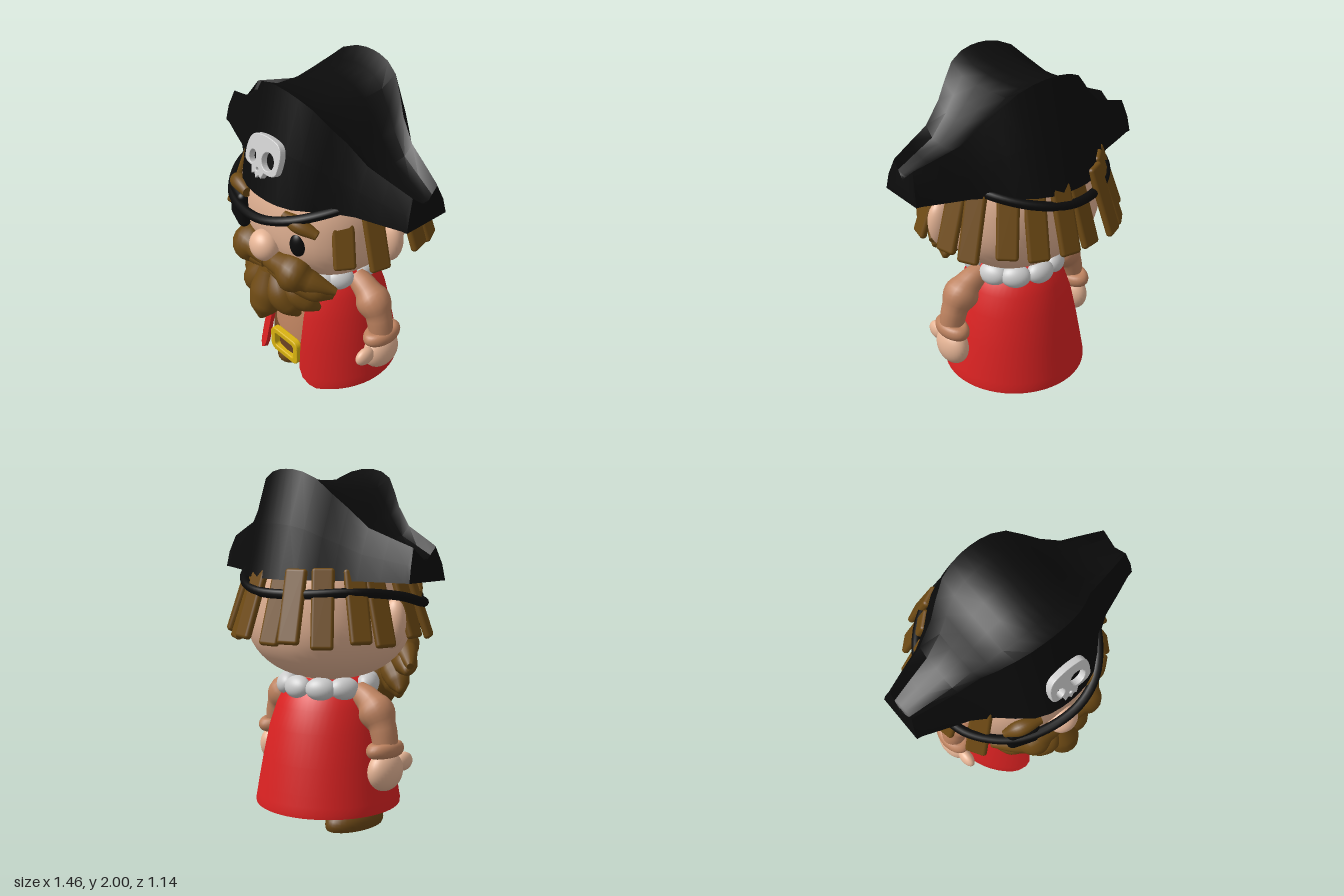
import * as THREE from 'three';
import { toCreasedNormals } from 'three/addons/utils/BufferGeometryUtils.js';
import { RoundedBoxGeometry } from 'three/addons/geometries/RoundedBoxGeometry.js';

const V = (x, y, z) => new THREE.Vector3(x, y, z);
const material = (color) => new THREE.MeshStandardMaterial({ color });
const skin = material(0xe6b596), tan = material(0xbd825f), brown = material(0x6b4716), hairMat = material(0x6e4a14);
const black = material(0x0b0b0b), red = material(0xdb2222), white = material(0xcccccc);
const gold = material(0xd9b310), leather = material(0x6d4423), wood = material(0x8a5238);
const CZ = 0.03; // depth of the body's axis

// Skin over closed loops of points, ends capped with fans
function loft(rows, caps = true, crease = 0.7) {
  const n = rows[0].length, pts = rows.flat(), index = [];
  for (let i = 0; i < rows.length - 1; i++) {
    for (let j = 0; j < n; j++) {
      const a = i * n + j, b = i * n + (j + 1) % n;
      index.push(a, a + n, b, b, a + n, b + n);
    }
  }
  if (caps) {
    [0, rows.length - 1].forEach((r, end) => {
      const c = rows[r].reduce((s, p) => s.add(p), V(0, 0, 0)).divideScalar(n);
      pts.push(c);
      for (let j = 0; j < n; j++) {
        const a = r * n + j, b = r * n + (j + 1) % n;
        index.push(pts.length - 1, end ? b : a, end ? a : b);
      }
    });
  }
  const g = new THREE.BufferGeometry().setFromPoints(pts);
  g.setIndex(index);
  return toCreasedNormals(g, crease);
}

// Round limb along a path with a varying radius
function limb(points, radii, steps = 20, sides = 16) {
  const path = new THREE.CatmullRomCurve3(points.map((p) => V(...p)));
  const width = new THREE.CatmullRomCurve3(radii.map((r) => V(r, 0, 0)));
  const { normals, binormals } = path.computeFrenetFrames(steps);
  const rows = [];
  for (let i = 0; i <= steps; i++) {
    const c = path.getPointAt(i / steps), row = [];
    const t = path.getUtoTmapping(i / steps), r = width.getPoint(t).x;
    for (let j = 0; j < sides; j++) {
      const a = -j / sides * Math.PI * 2;
      row.push(c.clone().addScaledVector(normals[i], r * Math.cos(a)).addScaledVector(binormals[i], r * Math.sin(a)));
    }
    rows.push(row);
  }
  return loft(rows, true, 1.2);
}

function roundRect(shape, w, h, r) {
  const x = w / 2, y = h / 2;
  shape.moveTo(-x + r, -y).lineTo(x - r, -y).quadraticCurveTo(x, -y, x, -y + r).lineTo(x, y - r)
    .quadraticCurveTo(x, y, x - r, y).lineTo(-x + r, y).quadraticCurveTo(-x, y, -x, y - r)
    .lineTo(-x, -y + r).quadraticCurveTo(-x, -y, -x + r, -y);
  return shape;
}

// Bicorne hat: cross-sections from tip to tip
function hatGeometry() {
  // x, crest height, half depth at the brim
  const half = [[0, 2, 0.48], [0.05, 1.998, 0.478], [0.12, 1.985, 0.467], [0.2, 1.95, 0.435], [0.28, 1.87, 0.37],
    [0.35, 1.8, 0.305], [0.46, 1.7, 0.235], [0.58, 1.655, 0.19], [0.7, 1.61, 0.143], [0.73, 1.605, 0.138]];
  const sections = [...half.slice(1).reverse().map(([x, h, d]) => [-x, h, d]), ...half];
  return loft(sections.map(([x, h, d]) => {
    const top = d - 0.3 * (h - 1.43), mid = (d + top) / 2 + 0.008, s = Math.sign(x);
    const end = Math.abs(x) > 0.72 ? 0.022 * s : 0;
    const side = [[1.43, d, 0], [(1.43 + h) / 2, mid, 0.3], [h, top, 1], [h - 0.05, top * 0.66, 0.9], [h - 0.06, top * 0.2, 0.9]];
    const front = side.map(([y, z, e]) => V(x - end * e, y, CZ + z));
    const back = side.map(([y, z, e]) => V(x - end * e, y, CZ - z)).reverse();
    return [...front, ...back];
  }), true, 0.6);
}

// Thin coat shell, open down the front with cut-away hem corners
function coatGeometry() {
  // height, radius, half opening angle
  const levels = [[0.86, 0.13, 0.5], [0.835, 0.195, 0.46], [0.78, 0.25, 0.43], [0.7, 0.29, 0.4], [0.58, 0.33, 0.39],
    [0.4, 0.368, 0.38], [0.25, 0.395, 0.39], [0.19, 0.405, 0.45], [0.15, 0.412, 0.56], [0.13, 0.412, 0.66]];
  const n = 44;
  return loft(levels.map(([y, r, gap], i) => {
    const thick = i === 0 || i === levels.length - 1 ? 0.001 : 0.022;
    const arc = (rad) => Array.from({ length: n + 1 }, (_, j) => {
      const a = gap + (2 * Math.PI - 2 * gap) * j / n;
      return V(rad * Math.sin(a), y, CZ + rad * Math.cos(a));
    });
    return [...arc(r), ...arc(r - thick).reverse()];
  }), false, 0.7);
}

// Skull-shaped badge plate
function badgeGeometry() {
  const s = new THREE.Shape();
  s.moveTo(-0.06, -0.065).lineTo(-0.05, -0.105).lineTo(-0.03, -0.09).lineTo(-0.015, -0.115).lineTo(0.002, -0.095)
    .lineTo(0.02, -0.105).lineTo(0.035, -0.07).quadraticCurveTo(0.12, -0.075, 0.122, -0.03)
    .quadraticCurveTo(0.14, 0.1, 0.07, 0.108).quadraticCurveTo(0, 0.12, -0.07, 0.1)
    .quadraticCurveTo(-0.13, 0.08, -0.12, -0.03).quadraticCurveTo(-0.12, -0.065, -0.06, -0.065);
  for (const [x, y, rx, ry] of [[-0.068, -0.02, 0.029, 0.038], [0.047, -0.005, 0.05, 0.052], [-0.015, -0.072, 0.013, 0.012]]) {
    s.holes.push(new THREE.Path().absellipse(x, y, rx, ry, 0, Math.PI * 2, true));
  }
  return new THREE.ExtrudeGeometry(s, { depth: 0.03, bevelEnabled: true, bevelSize: 0.004, bevelThickness: 0.005, bevelSegments: 2, curveSegments: 16 });
}

export function createModel() {
  const model = new THREE.Group();
  const add = (name, geometry, mat, pos = [0, 0, 0], rot = [0, 0, 0]) => {
    const m = new THREE.Mesh(geometry, mat);
    m.name = name;
    m.position.set(...pos);
    m.rotation.set(...rot, 'YXZ');
    model.add(m);
    return m;
  };
  const blob = (name, mat, pos, size, rot) =>
    add(name, new THREE.SphereGeometry(1, 32, 20).scale(...size), mat, pos, rot);
  const lathe = (name, mat, pts, pos) =>
    add(name, toCreasedNormals(new THREE.LatheGeometry(pts.map((p) => new THREE.Vector2(...p)), 40), 0.7), mat, pos);

  // Head: a slightly squared sphere
  const head = new THREE.SphereGeometry(1, 48, 32), hp = head.attributes.position;
  for (let i = 0; i < hp.count; i++) {
    const p = V(0, 0, 0).fromBufferAttribute(hp, i), e = 2.4;
    p.divideScalar((Math.abs(p.x) ** e + Math.abs(p.y) ** e + Math.abs(p.z) ** e) ** (1 / e));
    hp.setXYZ(i, p.x * 0.46, p.y * 0.42, p.z * 0.44);
  }
  add('head', toCreasedNormals(head, 1), skin, [0, 1.26, 0.035]);
  blob('nose', skin, [-0.01, 1.1, 0.485], [0.088, 0.09, 0.078]);
  blob('eye', black, [0.21, 1.2, 0.435], [0.045, 0.072, 0.035], [0, 0.35, 0]);
  add('eyePatch', new RoundedBoxGeometry(0.18, 0.22, 0.07, 5, 0.034), black, [-0.26, 1.22, 0.445], [0, -0.35, 0]);
  add('rightBrow', limb([[-0.35, 1.31, 0.4], [-0.27, 1.36, 0.44], [-0.16, 1.355, 0.465]], [0.02, 0.045, 0.03]), hairMat);
  add('leftBrow', limb([[0.14, 1.37, 0.465], [0.23, 1.35, 0.45], [0.33, 1.31, 0.405]], [0.025, 0.045, 0.025]), hairMat);

  // Patch strap tilted around the head
  const strap = new THREE.CatmullRomCurve3([[-0.525, 1.34, 0.05], [-0.5, 1.29, 0.25], [-0.3, 1.27, 0.46], [0, 1.31, 0.535],
    [0.2, 1.37, 0.48], [0.37, 1.44, 0.29], [0.45, 1.48, 0.04], [0.37, 1.44, -0.24], [0.2, 1.39, -0.4], [0, 1.36, -0.465],
    [-0.25, 1.36, -0.4], [-0.45, 1.37, -0.2]].map((p) => V(...p)), true);
  add('patchStrap', new THREE.TubeGeometry(strap, 90, 0.026, 10, true), black);

  // Hair strands hanging out from under the hat, listed by tip x and z
  const tips = [[0.45, 0.32], [0.55, 0.16], [0.57, -0.11], [0.52, -0.24], [0.37, -0.38], [0.22, -0.46], [0.07, -0.54],
    [-0.1, -0.5], [-0.26, -0.51], [-0.4, -0.4], [-0.53, -0.24], [-0.57, -0.1], [-0.56, 0.14], [-0.49, 0.33]];
  tips.forEach(([x, z], i) => {
    const az = Math.atan2(x, z - CZ), r = Math.hypot(x, z - CZ) - 0.07;
    const strand = new RoundedBoxGeometry(0.12, 0.4 + 0.03 * (i % 2), 0.04, 3, 0.018);
    add('hairStrand', strand, hairMat, [r * Math.sin(az), 1.3 - 0.01 * (i % 2), CZ + r * Math.cos(az)], [-0.33, az, 0]);
  });

  // Hat and badge
  add('hat', hatGeometry(), black);
  add('hatBadge', badgeGeometry(), white, [0.005, 1.655, 0.455], [-0.31, 0, 0]);

  // Beard centre
  add('beardCentre', limb([[0, 0.94, 0.46], [0, 0.79, 0.48], [0, 0.7, 0.51], [0, 0.625, 0.54]], [0.06, 0.1, 0.085, 0.015]), hairMat);

  for (const s of [1, -1]) {
    const side = s > 0 ? 'left' : 'right';
    const mirror = (pts) => pts.map(([x, y, z]) => [x * s, y, z]);
    // Ears, moustache and beard locks
    blob(side + 'Ear', skin, [0.49 * s, 1.19, 0.035], [0.075, 0.135, 0.06], [0, 0, -0.12 * s]);
    add(side + 'Moustache', limb(mirror([[0, 1.0, 0.47], [0.11, 1.02, 0.46], [0.24, 0.97, 0.41], [0.37, 0.91, 0.31]]), [0.045, 0.07, 0.07, 0.02]), hairMat);
    add(side + 'MoustacheLower', limb(mirror([[0.02, 0.96, 0.46], [0.15, 0.95, 0.44], [0.27, 0.91, 0.38], [0.35, 0.87, 0.31]]), [0.04, 0.065, 0.07, 0.02]), hairMat);
    add(side + 'BeardInner', limb(mirror([[0.04, 0.93, 0.45], [0.1, 0.82, 0.46], [0.15, 0.75, 0.44], [0.19, 0.695, 0.42]]), [0.05, 0.085, 0.07, 0.015]), hairMat);
    add(side + 'BeardOuter', limb(mirror([[0.08, 0.93, 0.42], [0.16, 0.84, 0.41], [0.22, 0.79, 0.38], [0.27, 0.745, 0.34]]), [0.05, 0.08, 0.065, 0.015]), hairMat);

    // Arms, cuffs and hands
    add(side + 'Arm', limb(mirror([[0.23, 0.79, 0.035], [0.33, 0.74, 0.035], [0.415, 0.63, 0.035], [0.45, 0.49, 0.035]]), [0.06, 0.076, 0.076, 0.068]), tan);
    add(side + 'Cuff', new THREE.TorusGeometry(0.085, 0.04, 14, 32).rotateX(Math.PI / 2).scale(0.64, 1, 1), tan, [0.445 * s, 0.5, 0.03], [0, 0, 0.08 * s]);
    blob(side + 'Hand', skin, [0.445 * s, 0.38, 0.033], [0.077, 0.112, 0.117]);
    blob(side + 'Thumb', skin, [0.455 * s, 0.41, 0.165], [0.036, 0.053, 0.066]);
  }

  // Torso, coat and frilled collar
  lathe('torso', tan, [[0, 0.09], [0.13, 0.1], [0.23, 0.135], [0.29, 0.19], [0.315, 0.27], [0.315, 0.36], [0.295, 0.5],
    [0.262, 0.68], [0.21, 0.8], [0.12, 0.88], [0, 0.9]], [0, 0, CZ]);
  add('coat', coatGeometry(), red);
  for (const deg of [180, 144, -144, 112, -112, 62, -62, 38, -38]) {
    const a = deg * Math.PI / 180;
    blob('collarFrill', white, [0.235 * Math.sin(a), 0.815, CZ + 0.235 * Math.cos(a)], [0.085, 0.065, 0.055], [-0.5, a, 0]);
  }

  // Belt and buckle
  lathe('belt', leather, [[0.3, 0.24], [0.33, 0.24], [0.33, 0.365], [0.3, 0.365]], [0, 0, CZ]);
  const frame = roundRect(new THREE.Shape(), 0.225, 0.155, 0.045);
  frame.holes.push(roundRect(new THREE.Path(), 0.175, 0.105, 0.03));
  add('buckle', new THREE.ExtrudeGeometry(frame, { depth: 0.03, bevelSize: 0.006, bevelThickness: 0.006, bevelSegments: 2 }), gold, [0, 0.31, 0.35]);

  // Foot with a flat sole, and the peg leg
  const foot = new THREE.SphereGeometry(1, 32, 20).scale(0.115, 0.1, 0.205), fp = foot.attributes.position;
  for (let i = 0; i < fp.count; i++) fp.setY(i, Math.max(fp.getY(i), -0.03));
  add('foot', toCreasedNormals(foot, 0.6), brown, [-0.17, 0.03, 0.075]);
  add('footTop', new THREE.CylinderGeometry(0.09, 0.1, 0.1, 24), brown, [-0.165, 0.1, 0.03]);
  lathe('pegLeg', wood, [[0, 0.01], [0.028, 0.01], [0.04, 0.055], [0.06, 0.06], [0.1, 0.11], [0.1, 0.14], [0, 0.16]], [0.165, 0, 0.02]);

  return model;
}
